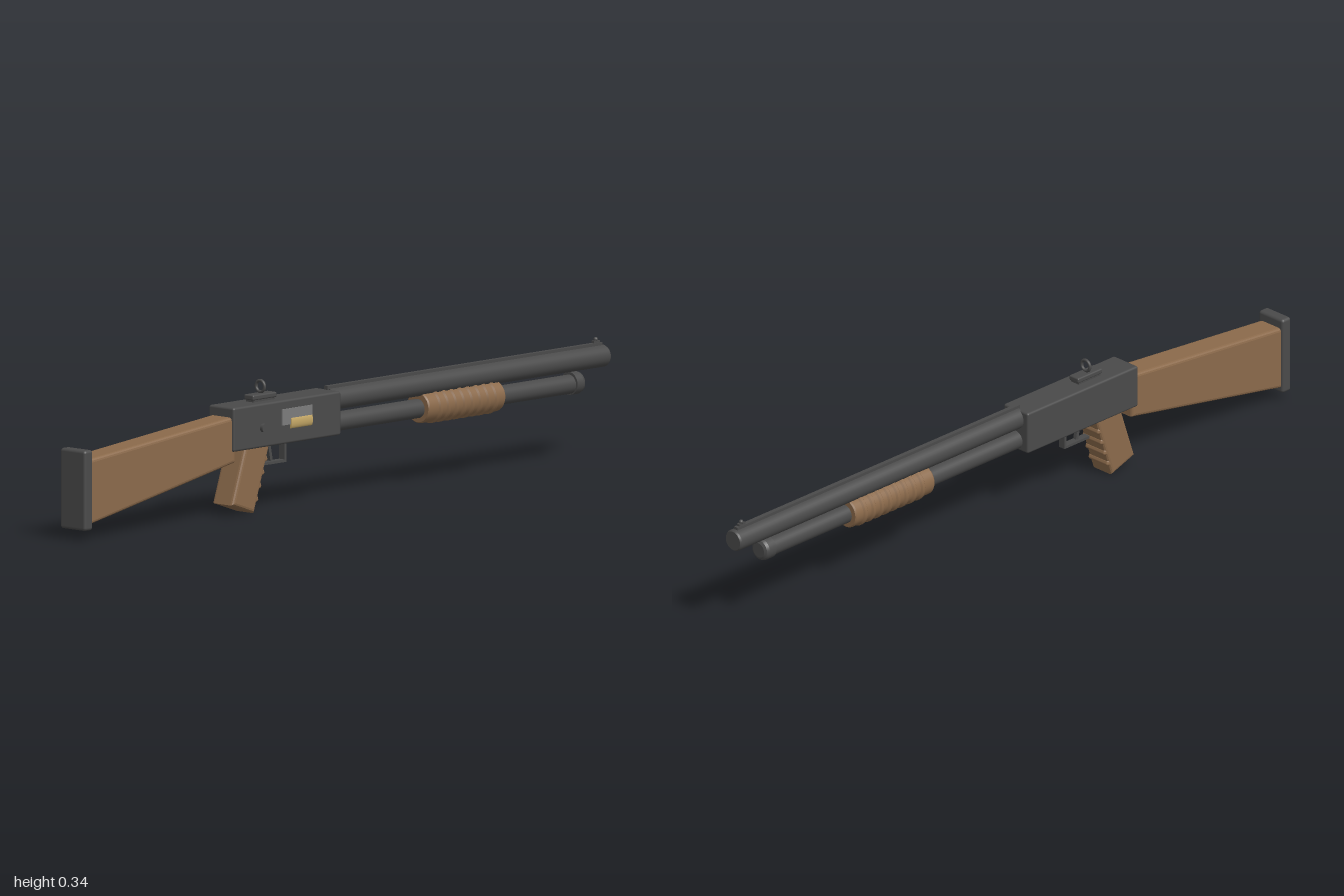
import * as THREE from 'three';
import { RoundedBoxGeometry } from 'three/addons/geometries/RoundedBoxGeometry.js';

const material = (name, color) => {
  const m = new THREE.MeshStandardMaterial({ color });
  m.name = name;
  return m;
};

export function createModel() {
  const metal = material('dark metal', 0x4a4a4a);
  const wood = material('wood', 0x8b6a4b);
  const steel = material('port steel', 0x7c7c7c);
  const brass = material('brass', 0xc4a766);

  const group = new THREE.Group();
  group.name = 'pumpActionLongGun';

  const add = (name, geometry, mat, x = 0, y = 0, z = 0) => {
    const mesh = new THREE.Mesh(geometry, mat);
    mesh.name = name;
    mesh.position.set(x - 0.003, y, z);
    group.add(mesh);
    return mesh;
  };
  const box = (name, mat, w, h, d, x, y, z, r = 0) =>
    add(name, r ? new RoundedBoxGeometry(w, h, d, 2, r) : new THREE.BoxGeometry(w, h, d), mat, x, y, z);

  // Turned part running forward (-z) from z; profile is [radius, distance],
  // with every corner doubled so edges stay crisp
  const turned = (name, mat, profile, y, z) => {
    const pts = profile.flatMap(([r, d]) => [new THREE.Vector2(r, d), new THREE.Vector2(r, d)]);
    return add(name, new THREE.LatheGeometry(pts, 32).rotateX(-Math.PI / 2), mat, 0, y, z);
  };

  // Side outline in [z, y], extruded across x with bevelled edges
  const slab = (name, mat, outline, halfWidth, bevel) => {
    const shape = new THREE.Shape(outline.map(([z, y]) => new THREE.Vector2(-z, y)));
    const g = new THREE.ExtrudeGeometry(shape, {
      depth: 2 * (halfWidth - bevel), bevelEnabled: true, bevelSize: bevel,
      bevelThickness: bevel, bevelOffset: -bevel, bevelSegments: 3,
    });
    g.translate(0, 0, -(halfWidth - bevel)).rotateY(Math.PI / 2);
    return add(name, g, mat);
  };

  // Butt plate, stock and receiver
  box('buttPlate', metal, 0.089, 0.21, 0.032, 0, 0.13, 0.984, 0.008);
  slab('stock', wood, [[0.975, 0.038], [0.425, 0.14], [0.425, 0.261], [0.975, 0.209]], 0.038, 0.009);
  box('receiver', metal, 0.089, 0.115, 0.405, 0, 0.2275, 0.2375, 0.006);

  // Barrel with top rib and bead sight
  turned('barrel', metal, [[0, 0], [0.029, 0], [0.029, 1.035], [0.026, 1.04], [0, 1.04]], 0.259, 0.04);
  box('barrelRib', metal, 0.012, 0.014, 1.035, 0, 0.288, -0.472);
  box('beadBase', metal, 0.009, 0.008, 0.022, 0, 0.297, -0.97);
  add('beadSight', new THREE.SphereGeometry(0.006, 14, 10), metal, 0, 0.304, -0.97);

  // Magazine tube and its cap
  turned('magazineTube', metal, [[0, 0], [0.025, 0], [0.025, 0.93], [0, 0.93]], 0.198, 0.05);
  turned('magazineCap', metal,
    [[0, 0], [0.03, 0], [0.03, 0.024], [0.027, 0.032], [0.02, 0.036], [0, 0.036]], 0.2, -0.87);

  // Ribbed sliding forend
  const forend = [[0, 0], [0.038, 0], [0.041, 0.004]];
  for (let i = 0; i < 8; i++) {
    const d = 0.045 + i * 0.03;
    forend.push([0.041, d - 0.008], [0.045, d - 0.004], [0.045, d + 0.004], [0.041, d + 0.008]);
  }
  forend.push([0.041, 0.286], [0.038, 0.29], [0, 0.29]);
  turned('forend', wood, forend, 0.2, -0.3);

  // Raked pistol grip with finger ridges on its front edge
  slab('grip', wood, [[0.436, 0.029], [0.352, 0], [0.292, 0.178], [0.376, 0.206]], 0.037, 0.009);
  for (let i = 0; i < 4; i++) {
    const t = 0.2 + i * 0.19;
    const ridge = box('gripRidge', wood, 0.072, 0.016, 0.02, 0,
      0.178 * t, 0.352 - 0.06 * t + 0.005, 0.006);
    ridge.rotation.x = 0.33;
  }

  // Trigger and guard
  box('guardBottom', metal, 0.02, 0.007, 0.092, 0, 0.119, 0.25);
  box('guardFront', metal, 0.02, 0.056, 0.007, 0, 0.144, 0.2075);
  const trigger = box('trigger', metal, 0.01, 0.05, 0.009, 0, 0.149, 0.26);
  trigger.rotation.x = 0.2;

  // Rear ring sight on its base
  box('sightFoot', metal, 0.028, 0.012, 0.08, 0, 0.288, 0.292);
  box('sightBase', metal, 0.034, 0.014, 0.09, 0, 0.297, 0.292, 0.004);
  add('ringSight', new THREE.TorusGeometry(0.0148, 0.0041, 10, 32), metal, 0, 0.322, 0.292);

  // Ejection port, chambered shell and side button on the left side
  box('ejectionPort', steel, 0.006, 0.042, 0.113, 0.0445, 0.241, 0.2035);
  const shell = add('shell', new THREE.CylinderGeometry(0.016, 0.016, 0.08, 20).rotateX(Math.PI / 2),
    brass, 0.0435, 0.224, 0.187);
  shell.scale.x = 0.4;
  add('sideButton', new THREE.CylinderGeometry(0.011, 0.011, 0.014, 20).rotateZ(Math.PI / 2),
    metal, 0.046, 0.222, 0.33);

  return group;
}
